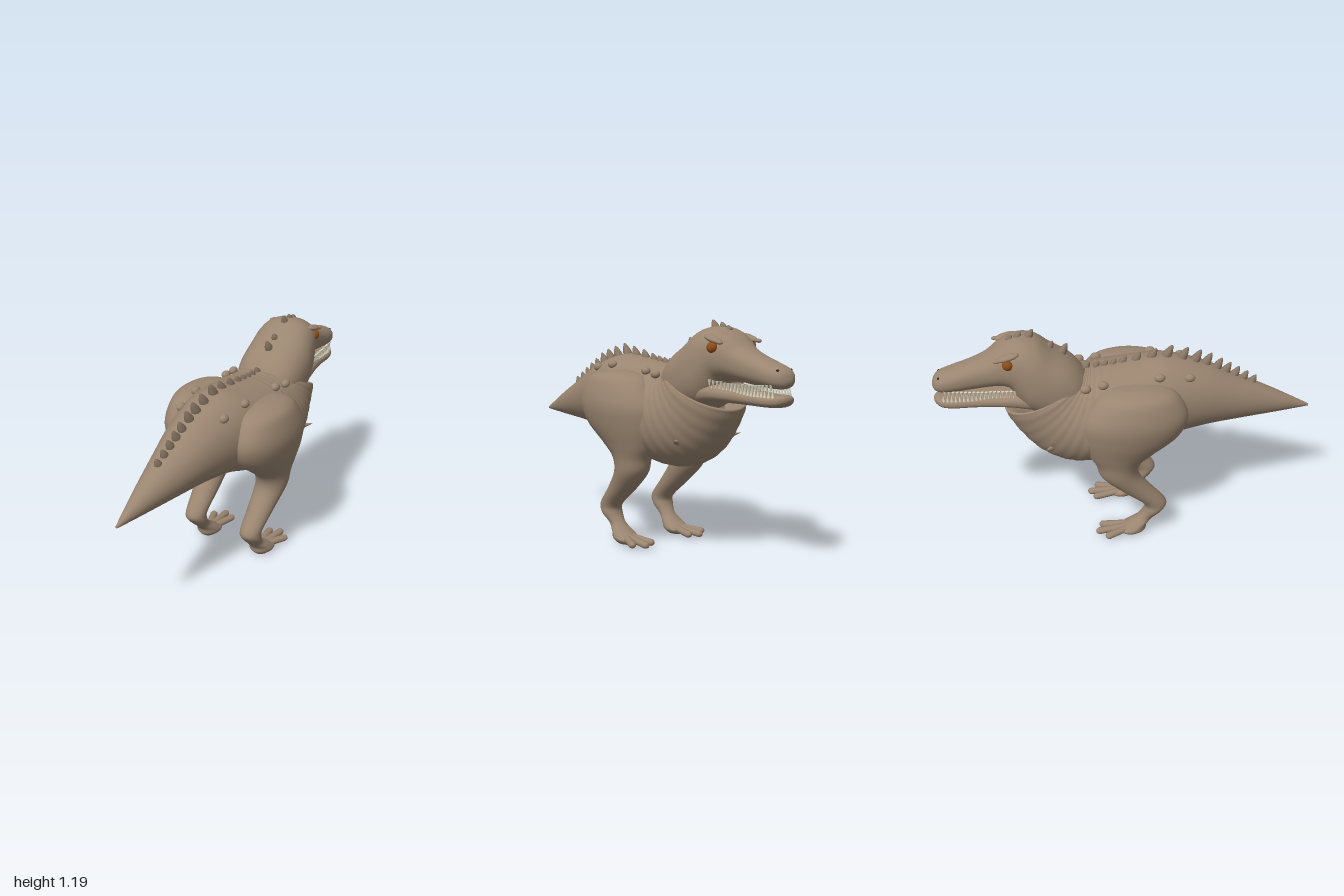
import * as THREE from 'three';

const mat = (name, color, side = THREE.FrontSide) => {
  const m = new THREE.MeshStandardMaterial({ color, side });
  m.name = name;
  return m;
};

// Smooth skin through elliptical rings; ring = centre, u half-axis, v half-axis (9 numbers).
function loft(rings, { power = 1, steps = 5, sides = 40, closed = true, ripple = null } = {}) {
  const cr = (a, b, c, d, t) =>
    0.5 * (2 * b + (c - a) * t + (2 * a - 5 * b + 4 * c - d) * t * t + (3 * b - a - 3 * c + d) * t * t * t);
  const rows = [];
  const last = rings.length - 1;
  for (let k = 0; k <= last * steps; k++) {
    const i = Math.min(Math.floor(k / steps), last - 1), t = k / steps - i;
    const g = (n) => rings[Math.max(0, Math.min(last, n))];
    const row = rings[0].map((_, q) => cr(g(i - 1)[q], g(i)[q], g(i + 1)[q], g(i + 2)[q], t));
    if (ripple) { const f = ripple(k / steps); for (let q = 3; q < 9; q++) row[q] *= f; }
    rows.push(row);
  }
  if (closed) {
    const point = (r) => [...r.slice(0, 3), 0, 0, 0, 0, 0, 0];
    rows.unshift(point(rows[0]));
    rows.push(point(rows[rows.length - 1]));
  }
  const pos = [], idx = [];
  const round = (v) => Math.sign(v) * Math.abs(v) ** power;
  rows.forEach((r, i) => {
    for (let j = 0; j < sides; j++) {
      const t = (j / sides) * Math.PI * 2, c = round(Math.cos(t)), s = round(Math.sin(t));
      for (let q = 0; q < 3; q++) pos.push(r[q] + r[3 + q] * c + r[6 + q] * s);
      if (i < rows.length - 1) {
        const a = i * sides + j, b = i * sides + ((j + 1) % sides);
        idx.push(a, b, a + sides, b, b + sides, a + sides);
      }
    }
  });
  const geo = new THREE.BufferGeometry();
  geo.setAttribute('position', new THREE.Float32BufferAttribute(pos, 3));
  geo.setIndex(idx);
  geo.computeVertexNormals();
  return geo;
}

// Upright section: top z, top y, bottom z, bottom y, half width
const upright = ([zt, yt, zb, yb, w]) =>
  [0, (yt + yb) / 2, (zt + zb) / 2, 0, (yt - yb) / 2, (zt - zb) / 2, w, 0, 0];
// Level section: y, back z, front z, inner x, outer x
const level = ([y, zb, zf, xi, xo]) =>
  [(xi + xo) / 2, y, (zb + zf) / 2, (xo - xi) / 2, 0, 0, 0, 0, (zb - zf) / 2];

// Linear lookup in [z, value] pairs ordered from back to front
function lookup(table, z) {
  for (let i = 1; i < table.length; i++) {
    const [z0, a] = table[i - 1], [z1, b] = table[i];
    if (z >= z1) return a + ((b - a) * (z - z0)) / (z1 - z0);
  }
  return table[table.length - 1][1];
}

export function createModel() {
  const root = new THREE.Group();
  const skin = mat('skin', 0x9a8570);
  const hide = mat('collarSkin', 0x9a8570, THREE.DoubleSide);
  const spine = mat('spineScales', 0x887664);
  const ivory = mat('teeth', 0xd9d3bd);
  const amber = mat('eyes', 0x8f4d16);
  const dark = mat('nostrils', 0x2e2620);

  const add = (name, geo, material, parent = root) => {
    const m = new THREE.Mesh(geo, material);
    m.name = name;
    parent.add(m);
    return m;
  };

  // Tail and torso, ending in an open slanted collar
  const bodyRings = [
    [1, 0.625, 1, 0.612, 0.006], [0.8, 0.735, 0.8, 0.6, 0.062], [0.6, 0.835, 0.6, 0.59, 0.115],
    [0.4, 0.935, 0.4, 0.575, 0.165], [0.2, 0.993, 0.2, 0.54, 0.212], [0.05, 0.985, 0.02, 0.48, 0.25],
    [-0.1, 0.968, -0.2, 0.44, 0.278], [-0.18, 0.962, -0.35, 0.45, 0.26], [-0.21, 0.962, -0.48, 0.52, 0.235],
    [-0.22, 0.962, -0.58, 0.635, 0.213], [-0.225, 0.958, -0.645, 0.755, 0.198],
    [-0.23, 0.93, -0.61, 0.765, 0.175], [-0.24, 0.9, -0.5, 0.72, 0.15],
  ];
  add('torsoAndTail', loft(bodyRings.map(upright), {
    steps: 10, sides: 56, closed: false,
    ripple: (k) => 1 + (k > 6 ? 0.005 * Math.sin((k - 6) * Math.PI * 4) : 0),
  }), hide);

  // Neck, skull and upper snout
  const head = new THREE.Group();
  head.name = 'head';
  root.add(head);
  add('neckAndSkull', loft([
    [-0.2, 0.9, -0.3, 0.75, 0.1], [-0.24, 0.965, -0.35, 0.73, 0.165], [-0.3, 1.03, -0.44, 0.74, 0.186],
    [-0.39, 1.09, -0.53, 0.78, 0.187], [-0.46, 1.145, -0.58, 0.835, 0.175], [-0.53, 1.165, -0.61, 0.895, 0.158],
    [-0.6, 1.155, -0.635, 0.91, 0.14], [-0.66, 1.125, -0.67, 0.912, 0.12], [-0.72, 1.08, -0.72, 0.908, 0.1],
    [-0.8, 1.045, -0.8, 0.9, 0.088], [-0.9, 1.012, -0.9, 0.892, 0.083], [-0.96, 0.992, -0.96, 0.892, 0.069],
    [-0.988, 0.968, -0.988, 0.902, 0.044], [-1, 0.938, -1, 0.922, 0.012],
  ].map(upright), { power: 0.85 }), skin, head);
  add('lowerJaw', loft([
    [-0.46, 0.88, -0.44, 0.77, 0.13], [-0.53, 0.9, -0.52, 0.785, 0.145], [-0.6, 0.895, -0.6, 0.8, 0.132],
    [-0.7, 0.882, -0.7, 0.803, 0.106], [-0.8, 0.87, -0.8, 0.803, 0.088], [-0.9, 0.864, -0.9, 0.803, 0.08],
    [-0.96, 0.866, -0.96, 0.808, 0.064], [-0.99, 0.862, -0.99, 0.825, 0.036], [-0.999, 0.85, -0.999, 0.84, 0.01],
  ].map(upright), { power: 0.8 }), skin, head);

  // Teeth along both lips
  const jawWidth = [[-0.58, 0.138], [-0.7, 0.1], [-0.8, 0.087], [-0.9, 0.08], [-0.96, 0.063]];
  const tooth = new THREE.ConeGeometry(0.0085, 0.04, 7);
  for (const s of [-1, 1]) {
    for (let i = 0; i < 18; i++) {
      const z = -0.59 - i * 0.0205, x = s * 0.87 * lookup(jawWidth, z);
      const up = add('upperTooth', tooth, ivory, head);
      up.position.set(x, 0.895 - 0.012 * Math.sin((i / 17) * Math.PI), z);
      up.rotation.x = Math.PI;
      add('lowerTooth', tooth, ivory, head).position.set(x * 0.95, 0.873, z - 0.01);
    }
  }

  // Eyes, brows and nostrils
  const ball = new THREE.SphereGeometry(1, 24, 16);
  const blob = (name, p, r, material = skin, parent = root) => {
    const m = add(name, ball, material, parent);
    m.position.set(...p);
    m.scale.set(...r);
    return m;
  };
  for (const s of [-1, 1]) {
    blob('eye', [s * 0.126, 1.07, -0.617], [0.027, 0.028, 0.028], amber, head);
    blob('brow', [s * 0.118, 1.108, -0.615], [0.028, 0.016, 0.06], skin, head).rotation.x = -0.25;
    blob('browKnob', [s * 0.128, 1.095, -0.67], [0.012, 0.01, 0.018], skin, head);
    blob('nostril', [s * 0.043, 0.976, -0.962], [0.009, 0.009, 0.009], dark, head);
  }

  // Back-leaning scales along the midline: z, height
  const scaleGeo = new THREE.LatheGeometry(
    [[0, -0.4], [0.42, -0.3], [0.5, 0], [0.42, 0.35], [0.24, 0.75], [0.09, 0.95], [0, 1]]
      .map(([x, y]) => new THREE.Vector2(x, y)), 14);
  const ridge = [...bodyRings.slice(0, 9).map((r) => [r[0], r[1]]),
    [-0.24, 0.965], [-0.3, 1.03], [-0.39, 1.09], [-0.46, 1.145], [-0.53, 1.165], [-0.6, 1.155]];
  const scales = [
    [0.67, 0.045], [0.62, 0.05], [0.57, 0.055], [0.52, 0.06], [0.47, 0.065], [0.41, 0.07], [0.35, 0.075],
    [0.28, 0.075], [0.2, 0.07], [0.12, 0.062], [0.04, 0.052], [-0.03, 0.042], [-0.08, 0.036], [-0.125, 0.034],
    [-0.17, 0.036], [-0.22, 0.038], [-0.34, 0.06], [-0.4, 0.035], [-0.505, 0.05], [-0.56, 0.035], [-0.6, 0.025],
  ];
  for (const [z, h] of scales) {
    const m = add('spineScale', scaleGeo, spine);
    m.position.set(0, lookup(ridge, z) - 0.006, z);
    m.scale.set(0.022 + h * 0.4, h, 0.025 + h * 0.4);
    m.rotation.x = 0.5;
  }

  // Hide bumps on the flanks and small chest spurs
  for (const s of [-1, 1]) {
    for (const [x, y, z] of [[0.165, 0.92, -0.24], [0.155, 0.93, -0.15], [0.15, 0.945, 0.14], [0.13, 0.92, 0.3]])
      blob('hideBump', [s * x, y, z], [0.022, 0.022, 0.028]);
    const spur = add('chestSpur', new THREE.ConeGeometry(0.016, 0.06, 10), skin);
    spur.position.set(s * 0.2, 0.605, -0.44);
    spur.rotation.set(-1.2, 0, -s * 0.9);
  }

  // Legs: thigh to foot in one skin, plus three toes
  const legGeo = loft([
    [0.925, 0.06, -0.06, 0.16, 0.23], [0.91, 0.16, -0.14, 0.1, 0.288], [0.87, 0.23, -0.2, 0.08, 0.328],
    [0.76, 0.28, -0.27, 0.06, 0.355], [0.65, 0.24, -0.27, 0.06, 0.338], [0.55, 0.12, -0.24, 0.08, 0.303],
    [0.48, 0.04, -0.2, 0.1, 0.282], [0.4, 0.03, -0.172, 0.105, 0.272], [0.3, 0.1, -0.07, 0.112, 0.252],
    [0.2, 0.18, 0.05, 0.12, 0.237], [0.15, 0.163, 0.06, 0.12, 0.235], [0.1, 0.115, 0.025, 0.13, 0.217],
    [0.06, 0.077, -0.03, 0.115, 0.233], [0.028, 0.07, -0.085, 0.11, 0.24], [0.003, 0.045, -0.06, 0.135, 0.215],
  ].map(level));
  for (const s of [-1, 1]) {
    const leg = new THREE.Group();
    leg.name = s > 0 ? 'leftLeg' : 'rightLeg';
    leg.scale.x = s;
    root.add(leg);
    add('thighShinAndFoot', legGeo, skin, leg);
    for (const [x0, x1, z1] of [[0.15, 0.13, -0.16], [0.175, 0.185, -0.185], [0.195, 0.237, -0.14]]) {
      const dx = x1 - x0, dz = z1 + 0.04;
      const toe = new THREE.CapsuleGeometry(0.021, Math.hypot(dx, dz), 6, 14);
      toe.rotateX(-Math.PI / 2);
      toe.scale(1, 0.85, 1);
      toe.rotateX(-0.06);
      toe.rotateY(Math.atan2(-dx, -dz));
      add('toe', toe, skin, leg).position.set((x0 + x1) / 2, 0.032, (z1 - 0.04) / 2);
    }
  }
  return root;
}
